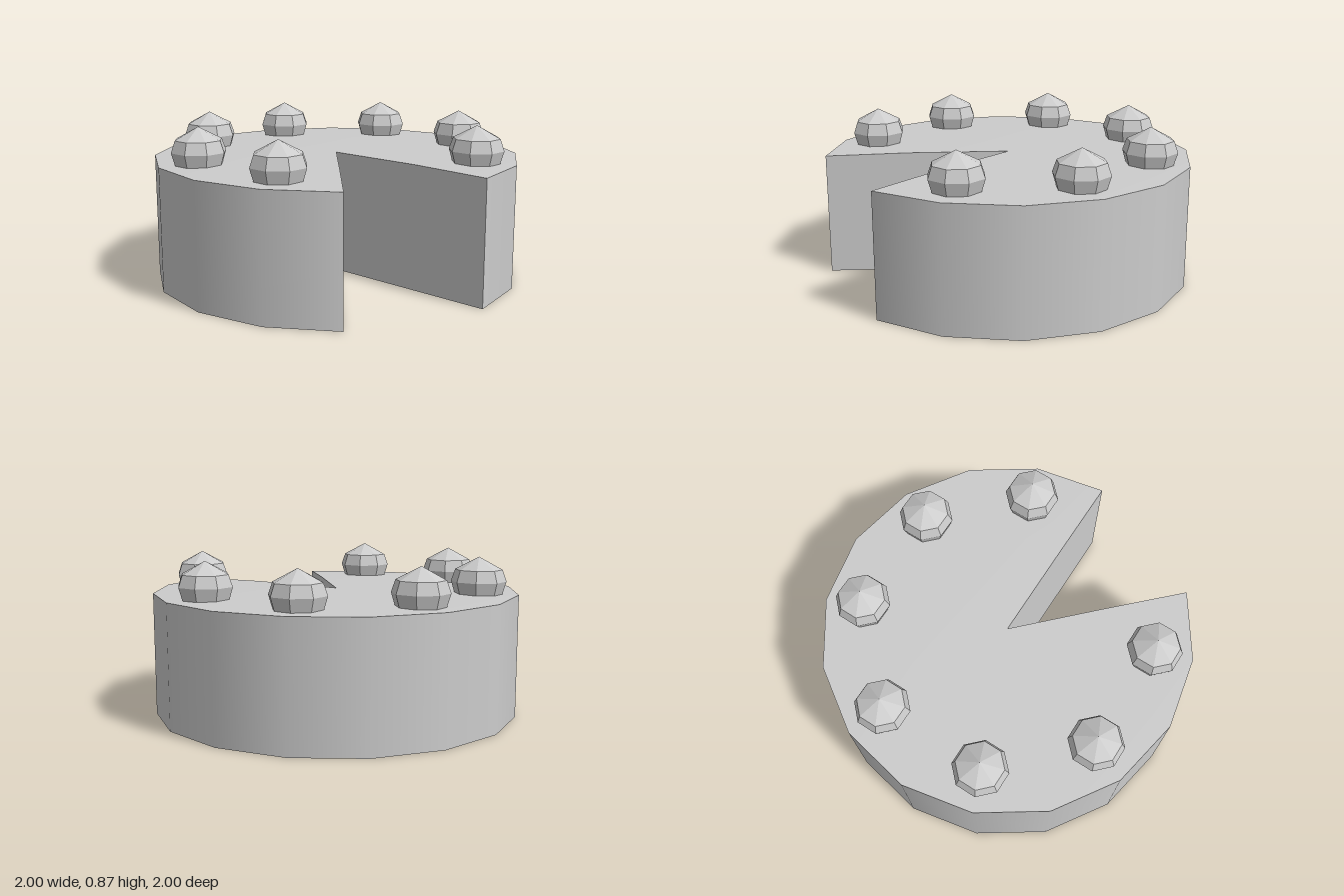
import * as THREE from 'three';

const HEIGHT = 0.667;   // cake height at the rim
const CROWN = 0.677;    // very slight rise of the top
const CUT = Math.PI / 4; // angle of the missing slice

export function createModel() {
  const group = new THREE.Group();
  const grey = new THREE.MeshStandardMaterial({ color: 0xcccccc });
  grey.name = 'pale grey';

  const add = (name, geometry, parent = group) => {
    const mesh = new THREE.Mesh(geometry, grey);
    mesh.name = name;
    parent.add(mesh);
    return mesh;
  };
  const points = (list) => list.map(([x, y]) => new THREE.Vector2(x, y));
  const sweep = (list) =>
    new THREE.LatheGeometry(points(list), 14, CUT, 2 * Math.PI - CUT);

  // Cake body: base, smooth side and gently crowned top
  const cake = new THREE.Group();
  cake.name = 'cake';
  group.add(cake);
  add('base', sweep([[0, 0], [1, 0]]), cake);
  add('side', sweep([[1, 0], [1, HEIGHT]]), cake);
  add('top', sweep([[1, HEIGHT], [0.55, CROWN], [0, CROWN]]), cake);

  // Two walls where the slice was taken out, facing into the gap
  for (const side of [1, -1]) {
    const wall = new THREE.ShapeGeometry(new THREE.Shape(points([
      [0, 0], [side, 0], [side, HEIGHT], [side * 0.55, CROWN], [0, CROWN],
    ])));
    wall.rotateY(side > 0 ? CUT - Math.PI / 2 : Math.PI / 2);
    add('cutWall', wall, cake);
  }

  // Seven faceted dollops with pointed tops around the rim
  const lathe = new THREE.LatheGeometry(
    points([[0.125, 0.66], [0.148, 0.737], [0.126, 0.8], [0, 0.867]]), 8, Math.PI / 8);
  const dollop = lathe.toNonIndexed();
  dollop.computeVertexNormals();
  for (let i = 1; i < 8; i++) {
    const angle = (i + 0.5) * CUT;
    add('dollop', dollop).position.set(
      0.785 * Math.sin(angle), 0, 0.785 * Math.cos(angle));
  }
  return group;
}
